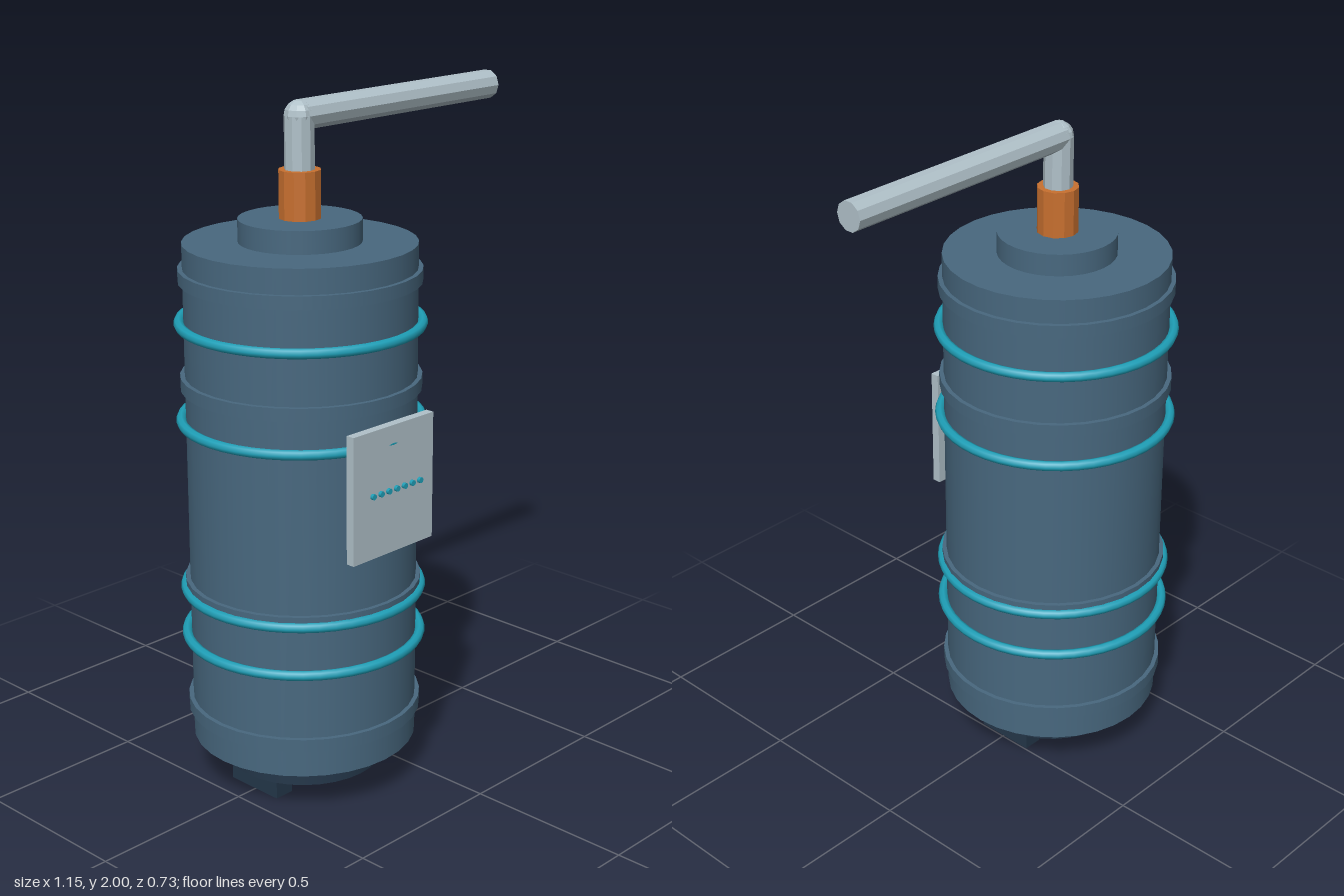
import * as THREE from 'three';

export function createModel() {
  const group = new THREE.Group();
  const tank = new THREE.Group();
  tank.name = 'tank';
  tank.position.set(-0.218, 0, -0.008);
  group.add(tank);

  const material = (name, color, flatShading = false) => {
    const m = new THREE.MeshStandardMaterial({ color, flatShading });
    m.name = name;
    return m;
  };
  const blue = material('slate blue', 0x48687f);
  const navy = material('dark navy', 0x24374a);
  const teal = material('teal', 0x1fa0b8);
  const copper = material('copper', 0xc8702f, true);
  const steel = material('pale steel', 0xb0c1c9, true);

  const add = (name, geometry, mat, x = 0, y = 0, z = 0) => {
    const mesh = new THREE.Mesh(geometry, mat);
    mesh.name = name;
    mesh.position.set(x, y, z);
    tank.add(mesh);
    return mesh;
  };
  // Upright cylinder between two heights
  const drum = (name, r, y0, y1, mat, sides = 32) =>
    add(name, new THREE.CylinderGeometry(r, r, y1 - y0, sides), mat, 0, (y0 + y1) / 2);

  // Body, lid and base
  drum('body', 0.329, 0.13, 1.61, blue);
  drum('lid', 0.173, 1.61, 1.675, blue);
  drum('base', 0.233, 0.05, 0.13, navy);
  for (const side of [-1, 1]) {
    add('foot', new THREE.BoxGeometry(0.062, 0.05, 0.187), navy, side * 0.182, 0.025, 0.004);
  }

  // Raised bands and teal hoops
  for (const y of [0.232, 0.607, 1.212, 1.52]) drum('band', 0.342, y - 0.019, y + 0.019, blue);
  for (const y of [0.45, 0.595, 1.1, 1.383]) {
    add('hoop', new THREE.TorusGeometry(0.3415, 0.0148, 8, 48), teal, 0, y).rotation.x = Math.PI / 2;
  }

  // Nozzle and bent outlet pipe
  const r = 0.0425, top = 1.9575, reach = 0.792;
  drum('nozzle', 0.06, 1.675, 1.81, copper, 12);
  drum('risingPipe', r, 1.81, top, steel, 10);
  add('elbow', new THREE.SphereGeometry(r, 10, 8), steel, 0, top);
  add('outletPipe', new THREE.CylinderGeometry(r, r, reach, 10), steel, reach / 2, top)
    .rotation.z = -Math.PI / 2;

  // Control panel with a row of lights
  add('panel', new THREE.BoxGeometry(0.32, 0.37, 0.026), steel, 0.002, 0.97, 0.342);
  for (let i = -3; i <= 3; i++) {
    add('light', new THREE.CylinderGeometry(0.0085, 0.0085, 0.009, 10), teal, 0.003 + i * 0.0315, 0.973, 0.3665)
      .rotation.x = Math.PI / 2;
  }
  return group;
}
